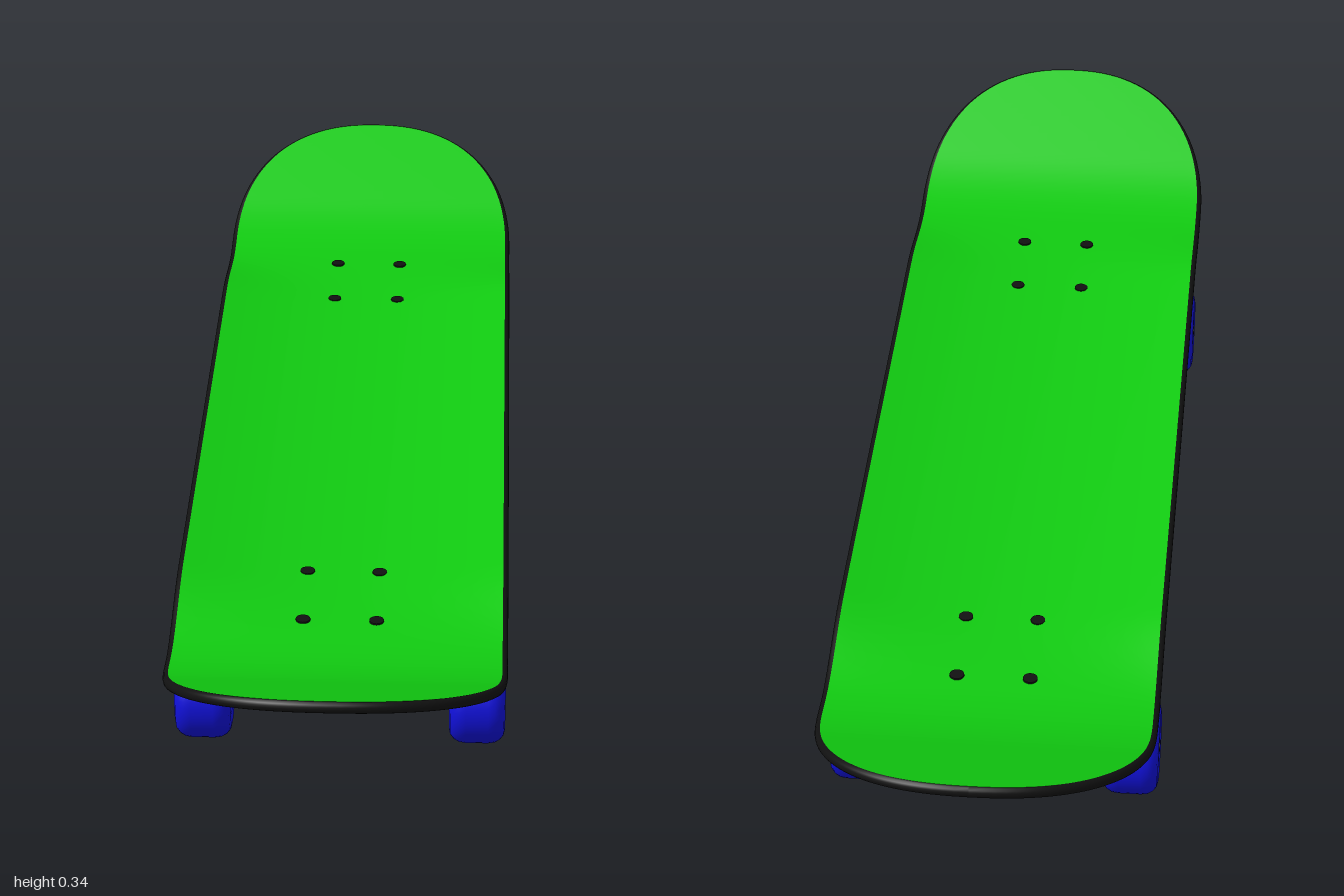
import * as THREE from 'three';
import { RoundedBoxGeometry } from 'three/addons/geometries/RoundedBoxGeometry.js';

const paint = (color, extra = {}) => new THREE.MeshStandardMaterial({ color, ...extra });
const green = paint(0x11cc11), red = paint(0x7a0a0a), blue = paint(0x1111dd);
const black = paint(0x111111), blackFlat = paint(0x111111, { flatShading: true });

function add(parent, name, geometry, material, x = 0, y = 0, z = 0) {
  const mesh = new THREE.Mesh(geometry, material);
  mesh.name = name;
  mesh.position.set(x, y, z);
  parent.add(mesh);
  return mesh;
}

// Surface through rows of [x, y, z] points
function skin(rows) {
  const n = rows[0].length, index = [];
  for (let i = 0; i < rows.length - 1; i++) {
    for (let j = 0; j < n - 1; j++) {
      const a = i * n + j, b = a + n;
      index.push(a, a + 1, b, a + 1, b + 1, b);
    }
  }
  const g = new THREE.BufferGeometry();
  g.setAttribute('position', new THREE.Float32BufferAttribute(rows.flat(2), 3));
  g.setIndex(index);
  g.computeVertexNormals();
  return g;
}

// Deck height: concave middle, kicked-up nose and tail
const THICK = 0.018;
function deckBottom(x, z) {
  const a = Math.abs(z), d = a - 0.66, bend = 0.15;
  const slope = z > 0 ? 0.47 : 0.42;
  const kick = d < 0 ? 0 : d < bend ? slope * d * d / (2 * bend) : slope * (d - bend / 2);
  const concave = 0.027 * (1 - THREE.MathUtils.smoothstep(a, 0.47, 0.67));
  return 0.205 + kick + concave * (x / 0.25) ** 2;
}

// Stations [z, half width] along the deck, with superellipse ends
function deckStations() {
  const W = 0.243, straight = 0.72, L = 0.273, e = 2 / 2.3, steps = 28;
  const end = [];
  for (let i = 0; i <= steps; i++) {
    const p = (i / steps) * Math.PI / 2;
    const w = i === steps ? 0 : W * Math.cos(p) ** e;
    end.push([straight + L * Math.sin(p) ** e, w]);
  }
  const list = end.map(([z, w]) => [-z, w]).reverse();
  for (let i = 1; i < 60; i++) list.push([-straight + 2 * straight * i / 60, W]);
  return list.concat(end);
}

function makeDeck() {
  const deck = new THREE.Group();
  deck.name = 'deck';
  const stations = deckStations(), cols = 24;
  const face = (dir, lift) => skin(stations.map(([z, w]) =>
    Array.from({ length: cols + 1 }, (_, j) => {
      const x = dir * w * (1 - 2 * j / cols);
      return [x, deckBottom(x, z) + lift, z];
    })));
  add(deck, 'gripSurface', face(1, THICK), green);
  add(deck, 'deckUnderside', face(-1, 0), red);

  // Rounded rim swept around the outline
  const outline = stations.map(([z, w]) => [w, z])
    .concat(stations.slice(1, -1).reverse().map(([z, w]) => [-w, z]));
  const count = outline.length, rows = [];
  for (let i = 0; i <= count; i++) {
    const [x, z] = outline[i % count];
    const [px, pz] = outline[(i + count - 1) % count], [nx, nz] = outline[(i + 1) % count];
    const len = Math.hypot(nx - px, nz - pz);
    const ox = (nz - pz) / len, oz = -(nx - px) / len;
    const mid = deckBottom(x, z) + THICK / 2;
    rows.push(Array.from({ length: 9 }, (_, j) => {
      const a = (j / 8 - 0.5) * Math.PI, r = 0.008 * Math.cos(a);
      return [x + ox * r, mid + Math.sin(a) * THICK / 2, z + oz * r];
    }));
  }
  add(deck, 'deckRim', skin(rows), black);
  return deck;
}

function makeWheel(side) {
  const wheel = new THREE.Group();
  wheel.name = side > 0 ? 'leftWheel' : 'rightWheel';
  const half = [[0.034, 0.03], [0.038, 0.041], [0.053, 0.0425], [0.062, 0.0405],
    [0.069, 0.035], [0.0735, 0.027], [0.075, 0.017]];
  const profile = half.map(([r, y]) => new THREE.Vector2(r, -y))
    .concat(half.slice().reverse().map(([r, y]) => new THREE.Vector2(r, y)));
  const turn = Math.PI / 2;
  add(wheel, 'tyre', new THREE.LatheGeometry(profile, 48).rotateZ(turn), blue);
  add(wheel, 'bearing', new THREE.CylinderGeometry(0.035, 0.035, 0.06, 32).rotateZ(turn), black);
  add(wheel, 'axleNut', new THREE.CylinderGeometry(0.016, 0.016, 0.012, 6).rotateZ(turn), blackFlat, side * 0.034);
  wheel.position.set(side * 0.2075, 0.075, 0);
  return wheel;
}

// Hanger body lofted along x from stations [x, top, half depth]
function hangerGeometry() {
  const half = [[0.17, 0.097, 0.021], [0.14, 0.099, 0.022], [0.1, 0.106, 0.024],
    [0.065, 0.117, 0.028], [0.04, 0.13, 0.032], [0.022, 0.146, 0.034], [0, 0.152, 0.035]];
  const all = half.map(([x, t, d]) => [-x, t, d]).concat(half.slice(0, -1).reverse());
  const bottom = 0.053;
  const rows = all.map(([x, top, d]) => Array.from({ length: 25 }, (_, j) => {
    const a = (j / 24) * Math.PI * 2;
    return [x, (top + bottom) / 2 + Math.cos(a) * (top - bottom) / 2, Math.sin(a) * d];
  }));
  return skin(rows);
}

// Truck with its axle at z = 0 and its outer end towards +z
function makeTruck(name) {
  const truck = new THREE.Group();
  truck.name = name;
  add(truck, 'basePlate', new RoundedBoxGeometry(0.144, 0.02, 0.2, 3, 0.008), black, 0, 0.197, -0.027);
  add(truck, 'basePlateStep', new RoundedBoxGeometry(0.13, 0.016, 0.18, 3, 0.006), black, 0, 0.188, -0.027);
  const block = new THREE.CylinderGeometry(0.047 * Math.SQRT2, 0.037 * Math.SQRT2, 0.034, 4)
    .rotateY(Math.PI / 4).scale(1, 1, 1.5);
  add(truck, 'pivotHousing', block, blackFlat, 0, 0.168, -0.022);

  add(truck, 'hanger', hangerGeometry(), black, 0, 0, 0);
  const arm = add(truck, 'pivotArm', new THREE.CylinderGeometry(0.012, 0.022, 0.085, 20), black, 0, 0.132, 0.022);
  arm.rotation.x = 0.5;
  add(truck, 'axle', new THREE.CylinderGeometry(0.009, 0.009, 0.5, 16).rotateZ(Math.PI / 2), black, 0, 0.075, 0);
  for (const s of [-1, 1]) {
    add(truck, 'hangerEnd', new THREE.CylinderGeometry(0.021, 0.021, 0.012, 24).rotateZ(Math.PI / 2),
      black, s * 0.165, 0.075, 0);
    truck.add(makeWheel(s));
  }

  // Leaning kingpin with its bushings: [name, radius, height, position along pin, sides]
  const kingpin = new THREE.Group();
  kingpin.name = 'kingpinAssembly';
  kingpin.position.set(0, 0.133, -0.057);
  kingpin.rotation.x = 0.55;
  for (const [part, r, h, y, sides] of [
    ['upperBushing', 0.031, 0.03, 0.024, 28], ['hangerRing', 0.028, 0.016, 0, 28],
    ['lowerBushing', 0.024, 0.022, -0.019, 28], ['washer', 0.026, 0.004, -0.032, 28],
    ['kingpinNut', 0.015, 0.012, -0.04, 6], ['kingpin', 0.008, 0.03, -0.038, 16]]) {
    add(kingpin, part, new THREE.CylinderGeometry(r, r, h, sides), sides === 6 ? blackFlat : black, 0, y, 0);
  }
  truck.add(kingpin);
  const yoke = add(truck, 'hangerYoke', new RoundedBoxGeometry(0.05, 0.03, 0.06, 3, 0.01), black, 0, 0.118, -0.03);
  yoke.rotation.x = 0.4;

  // Mounting bolts and their nuts
  for (const x of [-0.055, 0.055]) {
    for (const z of [-0.103, 0.037]) {
      add(truck, 'mountingBolt', new THREE.CylinderGeometry(0.011, 0.011, 0.02, 20), black, x, 0.216, z);
      add(truck, 'mountingNut', new THREE.CylinderGeometry(0.01, 0.01, 0.012, 6), blackFlat, x, 0.18, z);
    }
  }
  return truck;
}

export function createModel() {
  const model = new THREE.Group();
  model.name = 'skateboard';
  model.add(makeDeck());
  const front = makeTruck('frontTruck'), rear = makeTruck('rearTruck');
  front.position.z = 0.55;
  rear.position.z = -0.585;
  rear.rotation.y = Math.PI;
  model.add(front, rear);
  return model;
}
